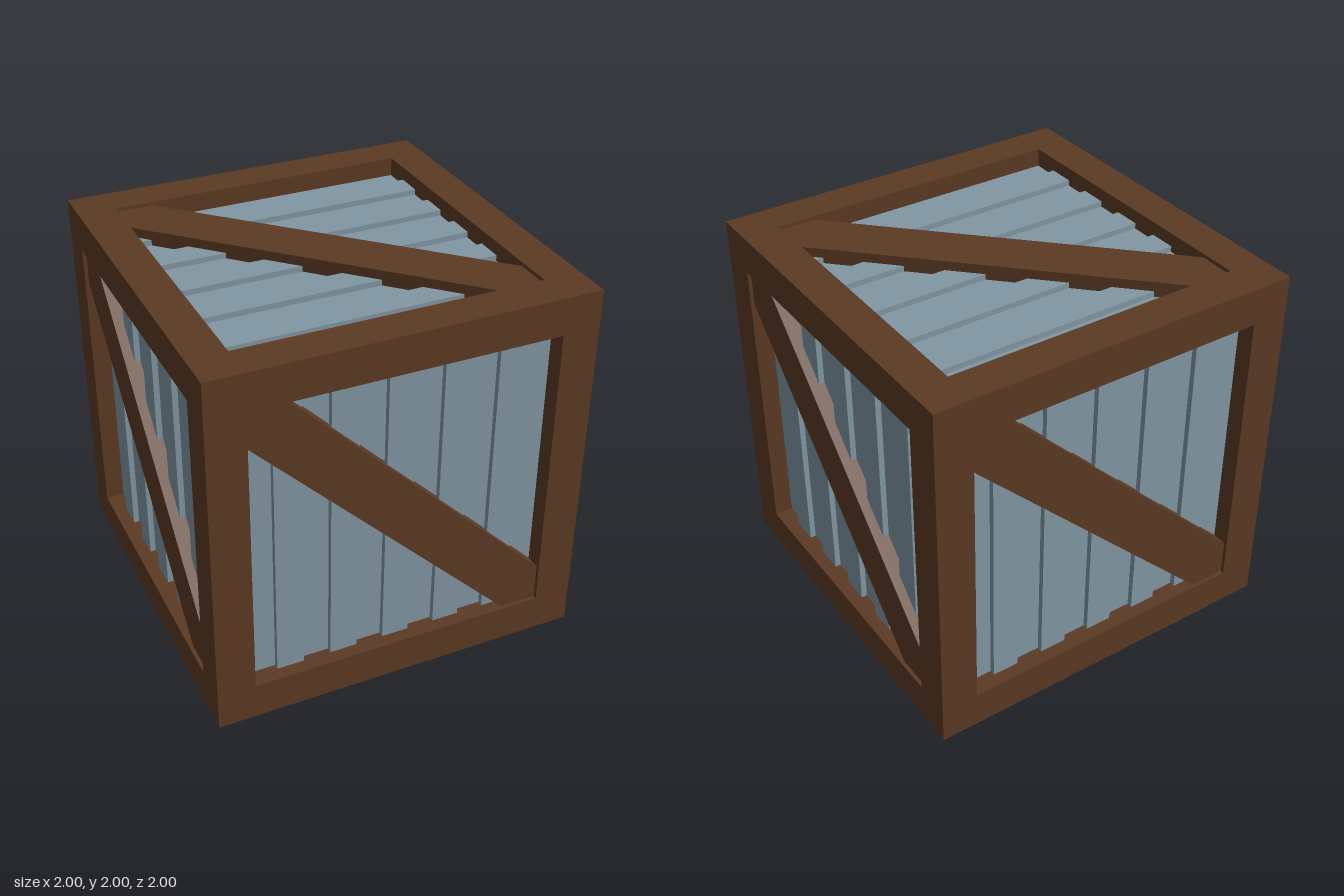
import * as THREE from 'three';

const wood = new THREE.MeshStandardMaterial({ color: 0x5c3a24, flatShading: true });
const metal = new THREE.MeshStandardMaterial({ color: 0x8197a3, flatShading: true });

const BAR = 0.2;          // frame bar thickness
const IN = 1 - BAR;       // half the opening
const DEEP = 0.9, RAISED = 0.93, BRACE = 0.98; // distances from the centre

function mesh(name, geometry, material) {
  const m = new THREE.Mesh(geometry, material);
  m.name = name;
  return m;
}

function extrude(points, depth) {
  const shape = new THREE.Shape(points.map(([x, y]) => new THREE.Vector2(x, y)));
  return new THREE.ExtrudeGeometry(shape, { depth, bevelEnabled: false });
}

// Corrugated panel: stepped section with 11 strips, facing +z, strips along y
function panelGeometry() {
  const strips = 11, w = 2 * IN / strips;
  const section = [[-IN, -IN], [IN, -IN]];
  for (let i = strips - 1; i >= 0; i--) {
    const d = i % 2 ? RAISED : DEEP;
    section.push([-IN + (i + 1) * w, -d], [-IN + i * w, -d]);
  }
  // the section's -y becomes +z, the extrusion runs along y
  const pts = section.map(([x, y], i) => [x, i < 2 ? -IN : y]);
  return extrude(pts, 2 * IN).rotateX(-Math.PI / 2).translate(0, -IN, 0);
}

// Diagonal brace from top left to bottom right, ends cut to the corners
function braceGeometry() {
  const c = IN - BAR;
  return extrude(
    [[-IN, IN], [-IN, c], [c, -IN], [IN, -IN], [IN, -c], [-c, IN]],
    BRACE - DEEP
  ).translate(0, 0, DEEP);
}

export function createModel() {
  const crate = new THREE.Group();
  crate.name = 'crate';
  const body = new THREE.Group();
  body.name = 'body';
  body.position.y = 1;
  crate.add(body);

  // Frame: four posts and eight rails between them
  const frame = new THREE.Group();
  frame.name = 'frame';
  const post = new THREE.BoxGeometry(BAR, 2, BAR);
  const railX = new THREE.BoxGeometry(2 * IN, BAR, BAR);
  const railZ = new THREE.BoxGeometry(BAR, BAR, 2 * IN);
  const e = 1 - BAR / 2;
  for (const a of [-e, e]) {
    for (const b of [-e, e]) {
      const p = mesh('post', post, wood);
      p.position.set(a, 0, b);
      const rx = mesh('railX', railX, wood);
      rx.position.set(0, a, b);
      const rz = mesh('railZ', railZ, wood);
      rz.position.set(a, b, 0);
      frame.add(p, rx, rz);
    }
  }
  body.add(frame);

  // Six sides: name, rotation about x, rotation about y, turn of the strips
  const h = Math.PI / 2;
  const panel = panelGeometry(), brace = braceGeometry();
  const sides = [
    ['front', 0, 0, 0], ['left', 0, h, 0], ['back', 0, 2 * h, 0], ['right', 0, -h, 0],
    ['top', -h, 0, h], ['bottom', h, 0, h],
  ];
  for (const [name, rx, ry, turn] of sides) {
    const side = new THREE.Group();
    side.name = name + 'Side';
    const sheet = mesh('panel', panel, metal);
    sheet.rotation.z = turn;
    side.add(sheet, mesh('brace', brace, wood));
    side.rotation.set(rx, ry, 0);
    body.add(side);
  }
  return crate;
}
